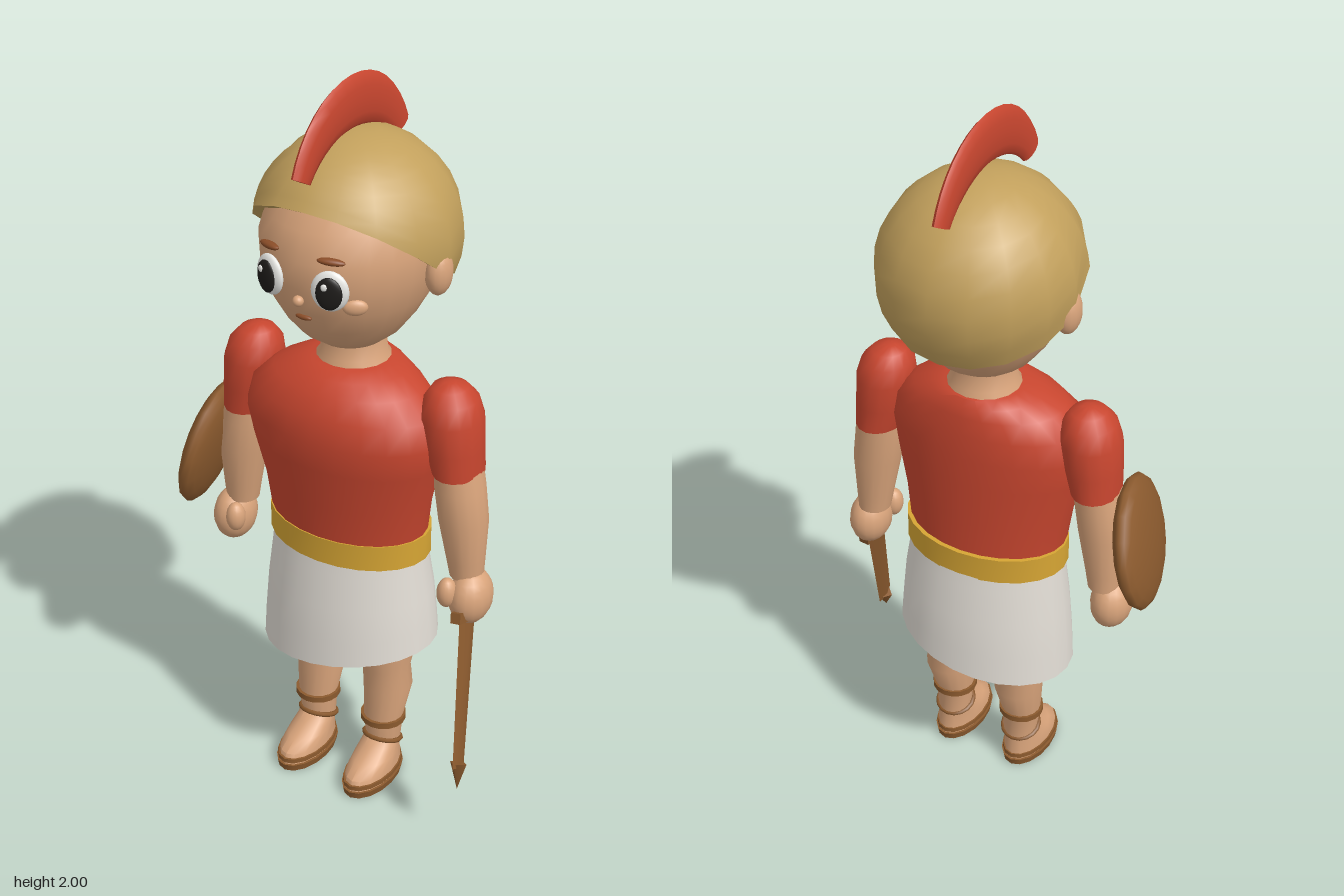
import * as THREE from 'three';
import { toCreasedNormals } from 'three/addons/utils/BufferGeometryUtils.js';

const CX = 0.022; // body axis

const mat = (name, color, side = THREE.FrontSide) =>
  Object.assign(new THREE.MeshStandardMaterial({ color }), { name, side });

// Skin a surface over rings of points, ordered right-handed round the path.
function loft(rows, capped = true) {
  const n = rows[0].length, index = [], pts = rows.flat();
  for (let j = 0; j < rows.length - 1; j++) {
    for (let i = 0; i < n; i++) {
      const a = j * n + i, b = j * n + (i + 1) % n;
      index.push(a, b, b + n, a, b + n, a + n);
    }
  }
  if (capped) {
    [0, rows.length - 1].forEach((j) => {
      const c = pts.length;
      pts.push(rows[j].reduce((s, p) => s.add(p), new THREE.Vector3()).divideScalar(n));
      for (let i = 0; i < n; i++) {
        const a = j * n + i, b = j * n + (i + 1) % n;
        index.push(...(j ? [c, a, b] : [c, b, a]));
      }
    });
  }
  const g = new THREE.BufferGeometry().setFromPoints(pts);
  g.setIndex(index);
  return toCreasedNormals(g, 0.85);
}

// Upright stack of ellipses: [y, rx, rz, x, z], bottom to top; lift(x) tilts a ring.
function stack(list, n = 16, capped = true, lift = () => 0) {
  return loft(list.map(([y, rx, rz, x = CX, z = 0], k) => Array.from({ length: n }, (_, i) => {
    const a = (i / n) * Math.PI * 2, px = x + rx * Math.sin(a);
    return new THREE.Vector3(px, y + lift(px, k), z + rz * Math.cos(a));
  })), capped);
}

export function createModel() {
  const model = new THREE.Group();
  model.name = 'toySoldier';
  const skin = mat('skin', 0xd9a47b);
  const red = mat('redCloth', 0xc8462f);
  const white = mat('whiteCloth', 0xe2ddd5, THREE.DoubleSide);
  const bronze = mat('bronze', 0xc2a05c, THREE.DoubleSide);
  const gold = mat('goldBelt', 0xd6a534, THREE.DoubleSide);
  const brown = mat('brownLeather', 0x8b5a2e);
  const brow = mat('browBrown', 0x8a4d28);
  const black = mat('pupilBlack', 0x1e1c1a);
  const eyeWhite = mat('eyeWhite', 0xf4f4f0);

  const add = (name, geo, material, parent = model) => {
    const m = new THREE.Mesh(geo, material);
    m.name = name;
    parent.add(m);
    return m;
  };
  const blob = (name, material, p, r, parent = model) => {
    const m = add(name, new THREE.SphereGeometry(1, 16, 12), material, parent);
    m.position.set(...p);
    m.scale.set(...r);
    return m;
  };

  // Head and neck
  add('head', stack([
    [1.308, 0.03, 0.03, CX, 0.01], [1.325, 0.085, 0.09, CX, 0.01], [1.36, 0.128, 0.14, CX, 0.01],
    [1.41, 0.165, 0.182, CX, 0.01], [1.47, 0.198, 0.217, CX, 0.01], [1.54, 0.218, 0.237, CX, 0.01],
    [1.61, 0.223, 0.238, CX, 0.01], [1.68, 0.205, 0.22, CX, 0.005], [1.75, 0.17, 0.17, CX, 0],
    [1.81, 0.1, 0.1, CX, -0.01], [1.835, 0.02, 0.02, CX, -0.01]], 24), skin);
  add('neck', stack([[1.2, 0.11, 0.1], [1.262, 0.1, 0.098], [1.28, 0.086, 0.086], [1.34, 0.084, 0.084]]), skin);

  // Face
  blob('nose', skin, [CX, 1.51, 0.245], [0.014, 0.014, 0.014]);
  blob('mouth', brow, [CX, 1.458, 0.222], [0.023, 0.007, 0.008]);
  for (const s of [-1, 1]) {
    const eye = new THREE.Group();
    eye.name = 'eye';
    eye.position.set(CX + s * 0.085, 1.555, 0.236);
    eye.rotation.y = s * 0.33;
    model.add(eye);
    blob('eyeball', eyeWhite, [0, 0, 0], [0.047, 0.052, 0.017], eye);
    blob('pupil', black, [0, -0.002, 0.012], [0.033, 0.042, 0.011], eye);
    blob('eyeGlint', eyeWhite, [-0.01, 0.017, 0.021], [0.008, 0.009, 0.004], eye);
    const b = blob('eyebrow', brow, [CX + s * 0.087, 1.63, 0.234], [0.035, 0.009, 0.012]);
    b.rotation.set(0, s * 0.35, -s * 0.06);
    blob('cheek', skin, [CX + s * 0.127, 1.505, 0.192], [0.031, 0.021, 0.014]).rotation.y = s * 0.6;
    blob('ear', skin, [CX + s * 0.235, 1.545, -0.01], [0.032, 0.06, 0.042]);
  }

  // Helmet: dome trimmed along a brim that rises to the front
  const N = 16, dome = (a, t, r) => {
    const c = Math.cos(a), z = r * Math.sin(t) * c;
    return new THREE.Vector3(CX + r * Math.sin(t) * Math.sin(a), 1.6 + r * Math.cos(t), -0.02 + z * (c > 0 ? 1.1 : 1));
  };
  const brimAngle = (a) => {
    let t = 0.5;
    for (; t < 2.4; t += 0.005) {
      const p = dome(a, t, 0.26);
      if (p.y < 1.545 + p.z * (p.z > 0 ? 0.83 : 0.44)) break;
    }
    return t;
  };
  const helmetRows = [[0, 0.235]];
  for (let k = 0; k <= 10; k++) helmetRows.push([k / 10, 0.26]);
  add('helmet', loft(helmetRows.map(([f, r]) => Array.from({ length: N }, (_, i) => {
    const a = (i / N) * Math.PI * 2;
    return dome(a, Math.max(brimAngle(a) * (1 - f), 0.002), r);
  })), false), bronze);

  // Crest: flattened arc that narrows to its ends
  const crest = [];
  for (let k = 0; k <= 16; k++) {
    const t = THREE.MathUtils.lerp(-1.06, 1.06, k / 16), h = 0.037 + 0.03 * Math.cos(t * 1.48);
    crest.push(Array.from({ length: 12 }, (_, i) => {
      const a = (i / 12) * Math.PI * 2, r = 0.247 + h * Math.sin(a);
      return new THREE.Vector3(CX + 0.016 * Math.cos(a), 1.686 + r * Math.cos(t), 0.012 + r * Math.sin(t));
    }));
  }
  add('crest', loft(crest), red);

  // Tunic, belt and kilt
  add('tunic', stack([
    [0.76, 0.217, 0.15, CX, 0.018], [0.9, 0.236, 0.155, CX, 0.025], [1.02, 0.265, 0.166, CX, 0.035],
    [1.1, 0.281, 0.17, CX, 0.04], [1.17, 0.265, 0.162, CX, 0.035], [1.22, 0.208, 0.145, CX, 0.025],
    [1.25, 0.15, 0.127, CX, 0.013], [1.267, 0.105, 0.107, CX, 0.005]], 24), red);
  add('belt', stack([
    [0.732, 0.217, 0.148, CX, 0.015], [0.732, 0.229, 0.16, CX, 0.015],
    [0.805, 0.229, 0.16, CX, 0.015], [0.805, 0.217, 0.148, CX, 0.015]], 24, false), gold);
  add('kilt', stack([
    [0.425, 0.248, 0.196, CX, 0.013], [0.5, 0.243, 0.192, CX, 0.013], [0.6, 0.235, 0.181, CX, 0.013],
    [0.7, 0.222, 0.165, CX, 0.014], [0.79, 0.214, 0.151, CX, 0.015]], 24, false,
  (x, k) => (x - CX) * 0.16 * Math.max(0, 1 - k / 3)), white);

  for (const s of [-1, 1]) {
    const at = (list) => list.map(([y, rx, rz, o, z]) => [y, rx, rz, CX + s * o, z]);

    // Arm
    add('sleeve', stack(at([
      [1.03, 0.063, 0.08, 0.318, 0.01], [1.1, 0.073, 0.083, 0.307, 0.012], [1.18, 0.078, 0.086, 0.298, 0.012],
      [1.23, 0.068, 0.074, 0.292, 0.012], [1.26, 0.045, 0.048, 0.288, 0.012], [1.272, 0.015, 0.015, 0.286, 0.012]])), red);
    add('arm', stack(at([
      [0.73, 0.044, 0.046, 0.35, 0.01], [0.78, 0.05, 0.052, 0.347, 0.012], [0.9, 0.065, 0.066, 0.338, 0.015],
      [0.99, 0.066, 0.069, 0.326, 0.015], [1.07, 0.058, 0.068, 0.316, 0.012]])), skin);
    blob('hand', skin, [CX + s * 0.37, 0.675, 0.02], [0.055, 0.077, 0.07]);
    blob('thumb', skin, [CX + s * 0.33, 0.7, 0.075], [0.026, 0.042, 0.028]);

    // Leg
    add('leg', stack(at([
      [0.09, 0.046, 0.046, 0.106, 0.012], [0.18, 0.054, 0.054, 0.107, 0.015], [0.28, 0.067, 0.069, 0.108, -0.006],
      [0.35, 0.066, 0.066, 0.108, 0.003], [0.38, 0.07, 0.073, 0.108, 0], [0.5, 0.078, 0.082, 0.108, 0],
      [0.7, 0.085, 0.095, 0.108, 0]])), skin);
    add('foot', stack(at([
      [0.018, 0.059, 0.113, 0.108, 0.07], [0.05, 0.058, 0.108, 0.108, 0.068], [0.075, 0.054, 0.086, 0.107, 0.05],
      [0.1, 0.049, 0.06, 0.106, 0.026], [0.125, 0.045, 0.046, 0.106, 0.014]])), skin);
    add('sandalSole', stack(at([[0, 0.062, 0.115, 0.108, 0.07], [0.02, 0.066, 0.119, 0.108, 0.07]])), brown);
    add('sandalRim', stack(at([[0.026, 0.063, 0.116, 0.108, 0.07], [0.038, 0.063, 0.115, 0.108, 0.07]])), brown);
    add('shinStrap', stack(at([[0.17, 0.062, 0.062, 0.107, 0.015], [0.187, 0.062, 0.062, 0.107, 0.015]])), brown);
    const strap = add('ankleStrap', new THREE.TorusGeometry(0.051, 0.007, 6, 16), brown);
    strap.position.set(CX + s * 0.106, 0.108, 0.016);
    strap.rotation.x = Math.PI / 2 - 0.35;
  }

  // Shield: lens-shaped disc on the right arm
  const shield = blob('shield', brown, [-0.411, 0.887, 0.034], [0.178, 0.047, 0.178]);
  shield.quaternion.setFromUnitVectors(new THREE.Vector3(0, 1, 0), new THREE.Vector3(-1, 0.24, 0.22).normalize());

  // Sword, pointing down and forward from the left hand
  const sword = new THREE.Group();
  sword.name = 'sword';
  const up = new THREE.Vector3(-0.075, 0.465, -0.16).normalize();
  const side = new THREE.Vector3(1, 0, 0).addScaledVector(up, -up.x).normalize();
  sword.quaternion.setFromRotationMatrix(
    new THREE.Matrix4().makeBasis(side, up, new THREE.Vector3().crossVectors(side, up)));
  sword.position.set(0.396, 0.63, 0.042);
  model.add(sword);
  add('guard', new THREE.BoxGeometry(0.028, 0.028, 0.13), brown, sword);
  add('grip', new THREE.CylinderGeometry(0.014, 0.014, 0.1, 8), brown, sword).position.y = 0.05;
  add('blade', stack([[-0.41, 0.009, 0.031, 0, 0], [0, 0.01, 0.042, 0, 0]], 4), brown, sword);
  const tip = add('bladeTip', new THREE.ConeGeometry(0.024, 0.07, 4), brown, sword);
  tip.position.y = -0.435;
  tip.rotation.x = Math.PI;
  return model;
}
